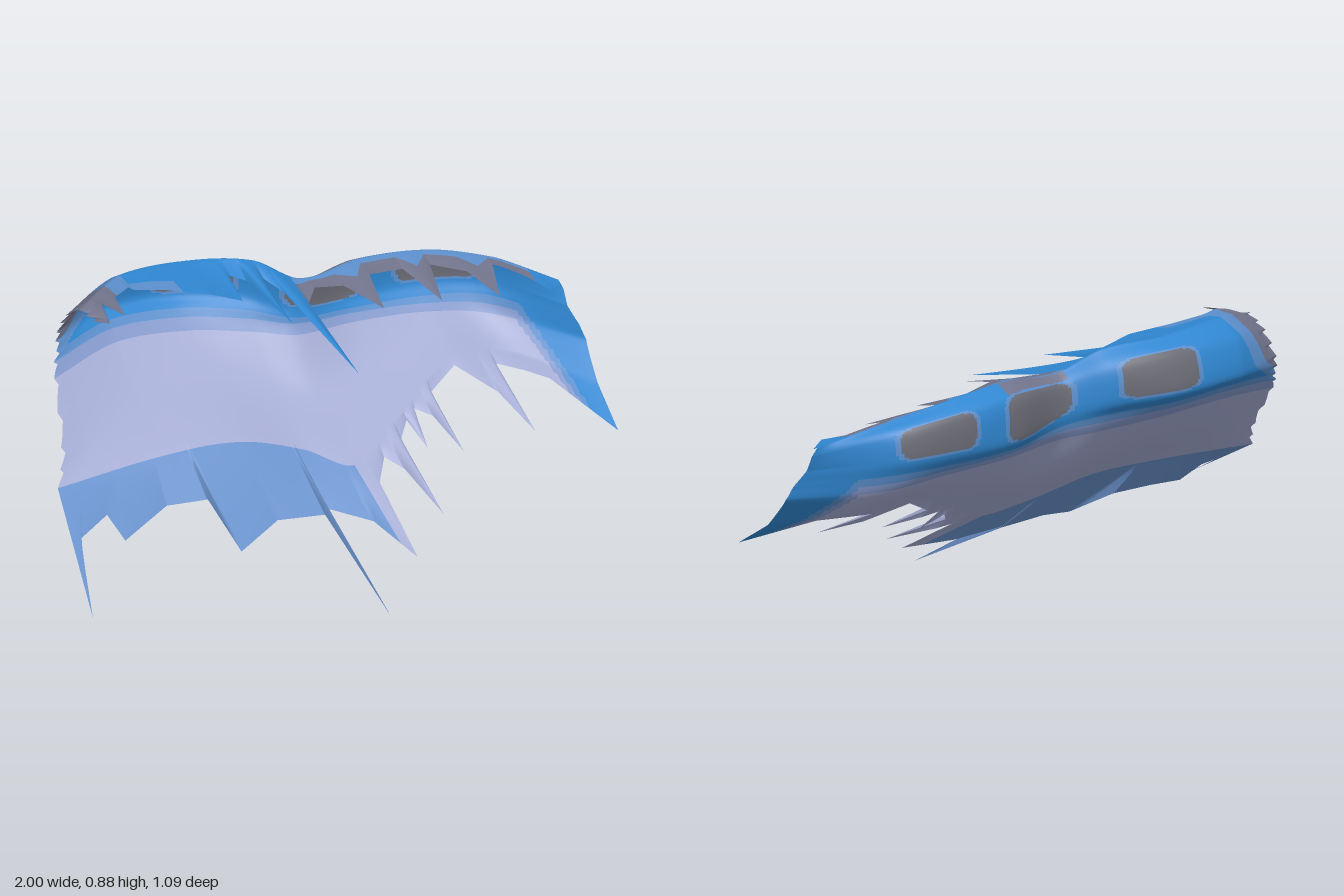
import * as THREE from 'three';

// Height and depth [y, z] pairs up the sheet, one cross-section per station
const stations = [-1, -0.45, -0.2, 0, 0.13, 0.35, 0.6, 0.8, 1];
const sections = [
  [0.37, -0.16, 0.46, -0.24, 0.61, -0.4, 0.67, -0.455, 0.73, -0.47, 0.81, -0.43, 0.86, -0.37],
  [0.375, -0.15, 0.5, -0.33, 0.625, -0.47, 0.68, -0.52, 0.72, -0.55, 0.82, -0.525, 0.885, -0.45],
  [0.36, -0.12, 0.48, -0.31, 0.6, -0.45, 0.655, -0.505, 0.7, -0.54, 0.81, -0.515, 0.86, -0.45],
  [0.3, -0.06, 0.44, -0.26, 0.57, -0.38, 0.63, -0.42, 0.68, -0.45, 0.78, -0.44, 0.835, -0.38],
  [0.25, 0.03, 0.4, -0.2, 0.55, -0.32, 0.6, -0.345, 0.65, -0.355, 0.73, -0.345, 0.765, -0.31],
  [0.32, -0.06, 0.42, -0.22, 0.525, -0.33, 0.56, -0.36, 0.605, -0.38, 0.72, -0.37, 0.77, -0.31],
  [0.4, -0.16, 0.45, -0.24, 0.5, -0.3, 0.54, -0.335, 0.59, -0.36, 0.69, -0.35, 0.735, -0.29],
  [0.38, -0.12, 0.42, -0.18, 0.465, -0.23, 0.52, -0.26, 0.57, -0.28, 0.65, -0.27, 0.68, -0.22],
  [0.33, 0.11, 0.385, 0.05, 0.43, 0.005, 0.475, -0.02, 0.53, -0.06, 0.58, -0.085, 0.61, -0.1],
];

// Torn edges as [station, y, z]
const bottomEdge = [
  [-1, 0.18, 0.31], [-0.88, 0.29, 0.03], [-0.74, 0.3, -0.04], [-0.72, 0.24, 0.04],
  [-0.52, 0.265, -0.04], [-0.38, 0.255, -0.02], [-0.375, 0.165, 0.18], [-0.2, 0.19, 0.11],
  [-0.037, 0.17, 0.13], [-0.032, 0, 0.53], [-0.024, 0.18, 0.11], [0.1, 0.14, 0.2],
  [0.15, 0.09, 0.39], [0.17, 0.22, 0.12], [0.24, 0.245, 0.03], [0.28, 0.22, 0.09], [0.3, 0.155, 0.3],
  [0.32, 0.27, 0], [0.37, 0.3, -0.05], [0.39, 0.24, 0.05], [0.41, 0.32, -0.07],
  [0.455, 0.3, -0.03], [0.475, 0.245, 0.13], [0.49, 0.34, -0.1], [0.6, 0.385, -0.14],
  [0.69, 0.32, -0.02], [0.72, 0.26, 0.16], [0.735, 0.365, -0.11], [0.87, 0.34, 0.02], [1, 0.245, 0.27],
];
const topEdge = [
  [-1, 0.84, -0.31], [-0.9, 0.85, -0.26], [-0.85, 0.875, -0.34], [-0.75, 0.87, -0.25],
  [-0.7, 0.885, -0.34], [-0.5, 0.885, -0.37], [-0.35, 0.86, -0.33], [-0.22, 0.835, -0.27],
  [-0.12, 0.795, -0.24], [-0.1, 0.82, -0.36], [-0.05, 0.8, -0.33], [-0.03, 0.765, -0.08],
  [0, 0.8, -0.33], [0.04, 0.77, -0.25], [0.07, 0.675, 0.16], [0.1, 0.74, -0.2],
  [0.15, 0.755, -0.25], [0.24, 0.75, -0.22], [0.3, 0.725, -0.07], [0.34, 0.755, -0.23],
  [0.47, 0.73, -0.24], [0.52, 0.68, -0.08], [0.57, 0.715, -0.24], [0.67, 0.69, -0.18],
  [0.72, 0.645, -0.06], [0.77, 0.68, -0.19], [0.88, 0.64, -0.12], [0.93, 0.62, -0.05], [1, 0.6, -0.07],
];
// Where the two slanting ends lie, from bottom edge to top edge
const leftEnd = [-1, -0.85, -0.79, -0.72, -0.68, -0.67, -0.66, -0.65, -0.63];
const rightEnd = [0.96, 0.98, 0.99, 1, 0.99, 0.97, 0.97, 0.96, 0.95];

const { lerp, clamp } = THREE.MathUtils;

// Smooth curve through uneven knots
function smooth(xs, ys, x) {
  let i = 0;
  while (i < xs.length - 2 && x > xs[i + 1]) i++;
  const slope = (k) => {
    const a = Math.max(k - 1, 0), b = Math.min(k + 1, xs.length - 1);
    return (ys[b] - ys[a]) / (xs[b] - xs[a]);
  };
  const h = xs[i + 1] - xs[i], t = (x - xs[i]) / h, t2 = t * t, t3 = t2 * t;
  return (2 * t3 - 3 * t2 + 1) * ys[i] + (t3 - 2 * t2 + t) * h * slope(i)
    + (3 * t2 - 2 * t3) * ys[i + 1] + (t3 - t2) * h * slope(i + 1);
}

function alongEdge(edge, s) {
  let i = 0;
  while (i < edge.length - 2 && s > edge[i + 1][0]) i++;
  const a = edge[i], b = edge[i + 1], t = (s - a[0]) / (b[0] - a[0]);
  return [lerp(a[1], b[1], t), lerp(a[2], b[2], t)];
}

function endAt(list, r) {
  const i = Math.min(Math.floor(r), 7);
  return lerp(list[i], list[i + 1], r - i);
}

// The left end is frayed with small saw teeth
function xAt(s, r) {
  const fray = r > 1 ? 0.02 * ((r * 2) % 1) * clamp((-s - 0.85) / 0.15, 0, 1) : 0;
  if (s < -0.45) return lerp(endAt(leftEnd, r), -0.45, (s + 1) / 0.55) + fray;
  if (s > 0.8) return lerp(0.8, endAt(rightEnd, r), (s - 0.8) / 0.2);
  return s;
}

// True inside a rounded window outline, enlarged by grow
function inWindow(x, r, grow) {
  return [[0.65, 5.55, 0.125, 0.6], [0.25, 5.5, 0.14, 0.75], [-0.145, 5.6, 0.125, 0.62]].some(([cx, cr, w, h]) =>
    Math.abs((x - cx) / (w + grow)) ** 4 + Math.abs((r - cr) / (h + grow * 5)) ** 4 < 1);
}

// Colour of the sheet at station s, row r
function paintAt(s, r) {
  const x = xAt(s, r);
  if (inWindow(x, r, 0)) return 'windowPanes';
  if (inWindow(x, r, 0.016)) return 'innerStripe';
  if (r > 7 && s > 0.1 && s < 0.9) return r > 7.25 ? 'slateRim' : 'innerStripe';
  if (r > 6.3 && s > 0.11 && s < 0.38) return 'slateRim';
  if (r > 7.6 && s < -0.3 && x > -0.52) return 'innerStripe';
  if (r > 4) {
    const limit = r < 5 ? lerp(-0.7, -0.6, r - 4) : lerp(-0.6, -0.52, clamp((r - 5) / 2, 0, 1));
    if (x < limit) return 'slateRim';
    return x < limit + 0.07 ? 'innerStripe' : 'blueShell';
  }
  const corner = 0.95 - 0.02 * r;
  if (s > corner) return 'blueShell';
  if (r > 3.5 || s > corner - 0.02) return 'innerStripe';
  if (r > 3 || s > corner - 0.04) return 'outerStripe';
  return r < 1 && s < 0.13 ? 'lowerFringe' : 'paleShell';
}

export function createModel() {
  const group = new THREE.Group();
  group.name = 'tornShell';
  const colours = {
    paleShell: ['pale lavender', 0xa4abd2],
    lowerFringe: ['soft blue', 0x6a92cc],
    outerStripe: ['grey blue', 0x8398ca],
    innerStripe: ['medium blue', 0x5b8ecb],
    blueShell: ['strong blue', 0x2f86d0],
    windowPanes: ['window grey', 0x696a74],
    slateRim: ['slate grey', 0x70738a],
  };

  // Columns include every tear tip so that spikes stay sharp
  const columns = [...bottomEdge, ...topEdge].map((p) => p[0]);
  for (let i = 0; i <= 260; i++) columns.push(-1 + i / 130);
  const cols = [...new Set(columns.map((s) => Math.round(s * 1e4) / 1e4))].sort((a, b) => a - b);
  const rows = [0];
  [6, 8, 8, 8, 8, 18, 14, 10].forEach((n, k) => {
    for (let i = 1; i <= n; i++) rows.push(k + i / n);
  });

  const knots = [1, 2, 3, 4, 5, 6, 7];
  const positions = [];
  for (const s of cols) {
    const at = (k) => smooth(stations, sections.map((p) => p[k]), s);
    const ys = knots.map((k, i) => at(2 * i)), zs = knots.map((k, i) => at(2 * i + 1));
    const low = alongEdge(bottomEdge, s), high = alongEdge(topEdge, s);
    for (const r of rows) {
      let y, z;
      if (r < 1) {
        y = lerp(low[0], ys[0], r);
        z = lerp(low[1], zs[0], r);
      } else if (r > 7) {
        y = lerp(ys[6], high[0], r - 7);
        z = lerp(zs[6], high[1], r - 7);
      } else {
        y = smooth(knots, ys, r);
        z = smooth(knots, zs, r);
      }
      positions.push(xAt(s, r), y, z);
    }
  }

  // Sort the sheet's cells by colour
  const faces = {}, all = [], n = rows.length;
  for (let i = 0; i < cols.length - 1; i++) {
    for (let j = 0; j < n - 1; j++) {
      const a = i * n + j, b = a + n;
      const cell = [a, b, b + 1, a, b + 1, a + 1];
      all.push(...cell);
      const name = paintAt((cols[i] + cols[i + 1]) / 2, (rows[j] + rows[j + 1]) / 2);
      (faces[name] ??= []).push(...cell);
    }
  }
  const sheet = new THREE.BufferGeometry();
  sheet.setAttribute('position', new THREE.Float32BufferAttribute(positions, 3));
  sheet.setIndex(all);
  sheet.computeVertexNormals();

  for (const [name, index] of Object.entries(faces)) {
    const material = new THREE.MeshStandardMaterial({ color: colours[name][1], side: THREE.DoubleSide });
    material.name = colours[name][0];
    const geometry = new THREE.BufferGeometry();
    geometry.setAttribute('position', sheet.attributes.position);
    geometry.setAttribute('normal', sheet.attributes.normal);
    geometry.setIndex(index);
    const mesh = new THREE.Mesh(geometry, material);
    mesh.name = name;
    group.add(mesh);
  }
  return group;
}
